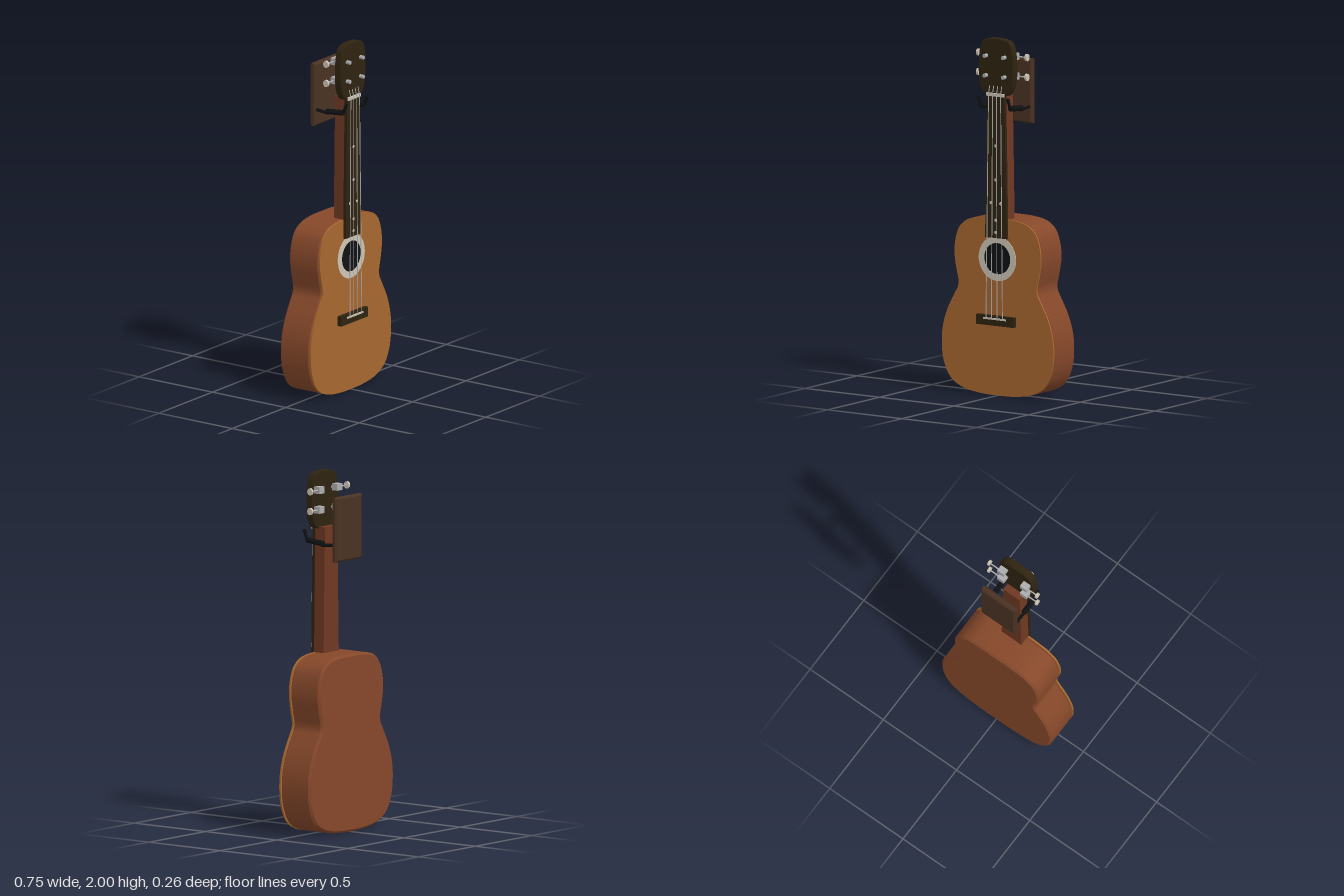
import * as THREE from 'three';
import { toCreasedNormals } from 'three/addons/utils/BufferGeometryUtils.js';

const mat = (name, color) => {
  const m = new THREE.MeshStandardMaterial({ color });
  m.name = name;
  return m;
};

// Closed smooth outline from right-half points, listed top to bottom
function mirroredOutline(half, divisions) {
  const right = half.map(([x, y]) => new THREE.Vector3(x, y, 0));
  const left = half.filter(([x]) => x > 0).reverse().map(([x, y]) => new THREE.Vector3(-x, y, 0));
  const curve = new THREE.CatmullRomCurve3([...right, ...left], true, 'centripetal');
  return new THREE.Shape(curve.getPoints(divisions).slice(0, -1).map(p => new THREE.Vector2(p.x, p.y)));
}

// Extrude a shape between two depths, with an optional single-step bevel
function slab(shape, z0, z1, bevel = 0) {
  const g = new THREE.ExtrudeGeometry(shape, {
    depth: z1 - z0 - 2 * bevel, bevelEnabled: bevel > 0, bevelSize: bevel,
    bevelThickness: bevel, bevelOffset: -bevel, bevelSegments: 1, curveSegments: 32,
  });
  g.translate(0, 0, z0 + bevel);
  return toCreasedNormals(g, 0.5);
}

// Symmetric four-sided shape with its own bottom and top half-widths
function taper(y0, w0, y1, w1) {
  return new THREE.Shape([[-w0, y0], [w0, y0], [w1, y1], [-w1, y1]].map(p => new THREE.Vector2(...p)));
}

export function createModel() {
  const root = new THREE.Group();
  root.name = 'guitarOnWallHanger';

  const spruce = mat('soundboardWood', 0xa8672f);
  const mahogany = mat('bodyWood', 0x86482a);
  const neckWood = mat('neckWood', 0x6e3822);
  const ebony = mat('darkWood', 0x2e2310);
  const plateWood = mat('hangerWood', 0x4a3222);
  const black = mat('black', 0x101114);
  const metal = mat('metal', 0xadadb0);
  const bone = mat('bone', 0xcfc6b5);

  const add = (name, geometry, material, x = 0, y = 0, z = 0, parent = root) => {
    const mesh = new THREE.Mesh(geometry, material);
    mesh.name = name;
    mesh.position.set(x, y, z);
    parent.add(mesh);
    return mesh;
  };
  const box = (name, material, w, h, d, x, y, z, parent) =>
    add(name, new THREE.BoxGeometry(w, h, d), material, x, y, z, parent);
  const rod = (name, material, a, b, r, parent, sides = 10) => {
    const path = new THREE.LineCurve3(new THREE.Vector3(...a), new THREE.Vector3(...b));
    const g = new THREE.CylinderGeometry(r, r, path.getLength(), sides);
    const mesh = add(name, g, material, 0, 0, 0, parent);
    mesh.position.copy(path.getPoint(0.5));
    mesh.quaternion.setFromUnitVectors(new THREE.Vector3(0, 1, 0), path.getTangent(0));
    return mesh;
  };

  // Body and soundboard
  const outline = mirroredOutline([
    [0, 0.992], [0.12, 0.988], [0.2, 0.97], [0.255, 0.925], [0.283, 0.85], [0.289, 0.77],
    [0.277, 0.69], [0.263, 0.625], [0.266, 0.59], [0.287, 0.55], [0.333, 0.465], [0.364, 0.375],
    [0.375, 0.28], [0.362, 0.165], [0.315, 0.075], [0.235, 0.028], [0.12, 0.007], [0, 0.003],
  ], 144);
  add('body', slab(outline, -0.133, 0.072, 0.012), mahogany);
  add('soundboard', slab(outline, 0.07, 0.08), spruce);

  // Sound hole and rosette
  const holeY = 0.768;
  const disc = new THREE.CylinderGeometry(0.09, 0.09, 0.004, 48).rotateX(Math.PI / 2);
  add('soundHole', disc, black, 0, holeY, 0.08);
  const ring = new THREE.Shape().absarc(0, 0, 0.125, 0, Math.PI * 2);
  ring.holes.push(new THREE.Path().absarc(0, 0, 0.087, 0, Math.PI * 2, true));
  add('rosette', slab(ring, 0.079, 0.083), bone, 0, holeY);

  // Bridge and saddle
  box('bridge', ebony, 0.25, 0.055, 0.028, 0, 0.423, 0.092);
  box('saddle', bone, 0.15, 0.01, 0.008, 0, 0.434, 0.108);

  // Neck, fingerboard and nut
  add('neck', slab(taper(0.96, 0.068, 1.69, 0.055), 0.012, 0.08), neckWood);
  add('fingerboard', slab(taper(0.885, 0.072, 1.69, 0.058), 0.079, 0.097), ebony);
  box('nut', bone, 0.116, 0.018, 0.026, 0, 1.686, 0.094);

  // Fingerboard position markers
  for (const [x, y] of [[0, 1.4], [0, 1.21], [-0.033, 1.08], [0.033, 1.08], [0, 0.985], [0, 0.917]]) {
    const dot = new THREE.CylinderGeometry(0.009, 0.009, 0.003, 16).rotateX(Math.PI / 2);
    add('positionMarker', dot, bone, x, y, 0.0975);
  }

  // Headstock
  const head = mirroredOutline([
    [0, 2], [0.055, 1.996], [0.093, 1.978], [0.11, 1.93], [0.117, 1.85],
    [0.115, 1.78], [0.1, 1.72], [0.075, 1.687], [0.045, 1.68], [0, 1.68],
  ], 72);
  add('headstock', slab(head, 0.053, 0.097, 0.004), ebony);

  // Strings run from the bridge over the nut
  for (let i = 0; i < 4; i++) {
    const t = i - 1.5;
    const low = [t * 0.037, 0.43, 0.113], nut = [t * 0.027, 1.69, 0.109], end = [t * 0.027, 1.735, 0.098];
    rod('string', metal, low, nut, 0.0025, root, 6);
    rod('stringEnd', metal, nut, end, 0.0025, root, 6);
  }

  // Tuning machines, two per side
  for (const side of [-1, 1]) {
    for (const y of [1.79, 1.9]) {
      const tuner = new THREE.Group();
      tuner.name = 'tuner';
      root.add(tuner);
      rod('tunerPost', metal, [side * 0.062, y, 0.05], [side * 0.062, y, 0.122], 0.011, tuner, 16);
      box('tunerGearbox', metal, 0.045, 0.038, 0.038, side * 0.078, y, 0.033, tuner);
      rod('tunerShaft', metal, [side * 0.1, y, 0.03], [side * 0.158, y, 0.03], 0.0045, tuner);
      const knob = rod('tunerButton', bone, [side * 0.156, y, 0.03], [side * 0.169, y, 0.03], 0.02, tuner, 20);
      knob.scale.z = 0.85;
    }
  }

  // Wall hanger: wooden plate and two padded arms with upturned tips
  add('hangerPlate', slab(taper(1.512, 0.116, 1.872, 0.116), -0.117, -0.08, 0.01), plateWood);
  for (const side of [-1, 1]) {
    const x = side * 0.099;
    const arm = new THREE.Group();
    arm.name = 'hangerArm';
    root.add(arm);
    rod('armRod', black, [x, 1.605, -0.085], [x, 1.598, 0], 0.009, arm);
    rod('armPad', black, [x, 1.607, -0.01], [x, 1.618, 0.1], 0.016, arm, 12);
    rod('armTip', black, [x, 1.612, 0.1], [x, 1.667, 0.12], 0.009, arm);
    add('tipBall', new THREE.SphereGeometry(0.011, 12, 8), black, x, 1.667, 0.12, arm);
  }

  return root;
}
